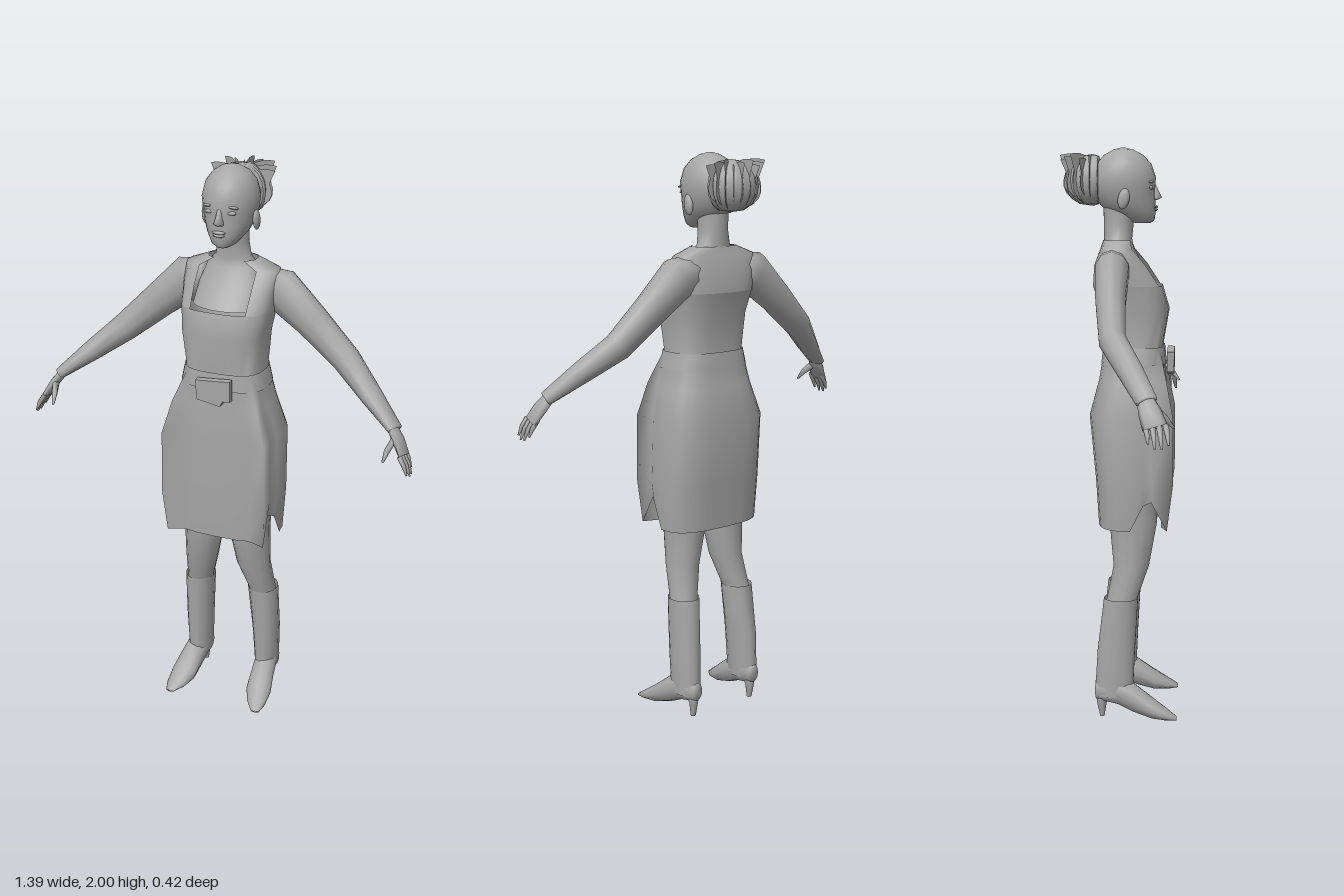
import * as THREE from 'three';

const grey = new THREE.MeshStandardMaterial({ color: 0xa6a6a6, side: THREE.DoubleSide });
grey.name = 'plain grey';

const V = (x, y, z) => new THREE.Vector3(x, y, z);

function mesh(name, geometry, parent) {
  const m = new THREE.Mesh(geometry, grey);
  m.name = name;
  parent.add(m);
  return m;
}

// Skin a list of equal-length point rings; open rings leave a gap
function loft(rings, { closed = true, caps = false } = {}) {
  const n = rings[0].length, pos = [], idx = [];
  rings.forEach(r => r.forEach(p => pos.push(p.x, p.y, p.z)));
  for (let j = 0; j < rings.length - 1; j++) {
    for (let i = 0; i < (closed ? n : n - 1); i++) {
      const a = j * n + i, b = j * n + (i + 1) % n;
      idx.push(a, a + n, b, b, a + n, b + n);
    }
  }
  if (caps) {
    [0, rings.length - 1].forEach((j, end) => {
      const c = pos.length / 3, mid = V(0, 0, 0);
      rings[j].forEach(p => mid.addScaledVector(p, 1 / n));
      pos.push(mid.x, mid.y, mid.z);
      for (let i = 0; i < n; i++) {
        const a = j * n + i, b = j * n + (i + 1) % n;
        if (end) idx.push(a, c, b); else idx.push(a, b, c);
      }
    });
  }
  const g = new THREE.BufferGeometry();
  g.setAttribute('position', new THREE.Float32BufferAttribute(pos, 3));
  g.setIndex(idx);
  g.computeVertexNormals();
  return g;
}

// Level ring: half width, front z, back z, centre x; p < 1 is boxier
function level(y, hw, zf, zb, { cx = 0, p = 1, n = 24, from = 0, to = 360, flare = 0 } = {}) {
  const pts = [], closed = to - from === 360;
  const bend = v => Math.sign(v) * Math.abs(v) ** p;
  for (let i = 0; i < (closed ? n : n + 1); i++) {
    const deg = from + (to - from) * i / n, a = deg * Math.PI / 180;
    const q = V(cx + hw * bend(Math.cos(a)), y, (zf + zb) / 2 + (zf - zb) / 2 * bend(Math.sin(a)));
    if (flare && (deg === 45 || deg === 135)) q.set(cx + Math.sign(Math.cos(a)) * hw * 0.93, y, zf + flare);
    pts.push(q);
  }
  return pts;
}

// Limb through stations [x, y, z, thickness, depth]
function limb(stations, n = 10) {
  const c = stations.map(s => V(s[0], s[1], s[2]));
  return loft(stations.map((s, j) => {
    const t = c[Math.min(j + 1, c.length - 1)].clone().sub(c[Math.max(j - 1, 0)]).normalize();
    const u = V(-t.y, t.x, 0).normalize(), v = u.clone().cross(t);
    return Array.from({ length: n }, (_, i) => {
      const a = i / n * Math.PI * 2;
      return c[j].clone().addScaledVector(u, s[3] * Math.cos(a)).addScaledVector(v, s[4] * Math.sin(a));
    });
  }), { caps: true });
}

function buildDress(g) {
  // Skirt and bodice, with slits rising at the sides of the hem
  const hem = level(0.69, 0.197, 0.16, -0.075, { p: 0.7, flare: 0.01 });
  [[1, 0.09], [2, 0.1], [10, 0.1], [11, 0.09]].forEach(([i, h]) => { hem[i].y += h; });
  const rows = [[0.85, 0.207, 0.165, -0.085, 0.025], [1.08, 0.203, 0.165, -0.107, 0.025],
    [1.2, 0.168, 0.162, -0.075, 0.005], [1.32, 0.138, 0.15, -0.055, 0],
    [1.45, 0.148, 0.172, -0.072, 0], [1.53, 0.16, 0.148, -0.095, 0]];
  mesh('dress', loft([hem, ...rows.map(([y, w, f, b, flare]) => level(y, w, f, b, { p: 0.7, flare }))]), g);

  // Shoulders and back, open at the square neckline
  const top = [[1.53, 0.16, 0.148, -0.095], [1.6, 0.165, 0.1, -0.09], [1.655, 0.165, 0.05, -0.068], [1.685, 0.085, 0.04, -0.06]];
  mesh('shoulderYoke', loft(top.map(([y, w, f, b]) =>
    level(y, w, f, b, { p: 0.7, from: 120, to: 420, n: 20 })), { closed: false }), g);

  // Belt and buckle
  mesh('belt', loft([level(1.26, 0.155, 0.163, -0.067, { p: 0.7 }), level(1.32, 0.142, 0.157, -0.06, { p: 0.7 })]), g);
  const flap = new THREE.Shape();
  [[-0.06, 1.3], [-0.055, 1.23], [0.03, 1.215], [0.04, 1.235], [0.065, 1.235], [0.065, 1.31]]
    .forEach(([x, y], i) => (i ? flap.lineTo(x, y) : flap.moveTo(x, y)));
  const buckle = mesh('buckle', new THREE.ExtrudeGeometry(flap, { depth: 0.025, bevelEnabled: false }), g);
  buckle.position.z = 0.165;
}

function buildHead(g) {
  mesh('neckAndChest', loft([[1.53, 0.12, 0.125, -0.02], [1.6, 0.11, 0.078, -0.04], [1.66, 0.09, 0.045, -0.055],
    [1.69, 0.062, 0.04, -0.058], [1.74, 0.053, 0.045, -0.058], [1.8, 0.055, 0.05, -0.06]]
    .map(([y, w, f, b]) => level(y, w, f, b))), g);
  mesh('head', loft([[1.743, 0.022, 0.105, 0.05], [1.755, 0.042, 0.118, 0.02], [1.785, 0.066, 0.122, -0.05],
    [1.82, 0.082, 0.12, -0.083], [1.86, 0.091, 0.119, -0.098], [1.9, 0.095, 0.122, -0.102], [1.945, 0.084, 0.106, -0.085],
    [1.975, 0.062, 0.078, -0.058], [1.993, 0.033, 0.044, -0.025], [2.0, 0.006, 0.014, 0.002]]
    .map(([y, w, f, b]) => level(y, w, f, b)), { caps: true }), g);

  // Face
  mesh('nose', loft([[1.822, 0.014, 0.127, 0.1], [1.83, 0.018, 0.143, 0.1], [1.85, 0.011, 0.133, 0.1], [1.878, 0.008, 0.12, 0.1]]
    .map(([y, w, f, b]) => level(y, w, f, b, { n: 8 })), { caps: true }), g);
  const ball = new THREE.SphereGeometry(1, 12, 8);
  const blob = (name, x, y, z, sx, sy, sz) => {
    const m = mesh(name, ball, g);
    m.position.set(x, y, z);
    m.scale.set(sx, sy, sz);
    return m;
  };
  blob('upperLip', 0, 1.799, 0.12, 0.024, 0.006, 0.01);
  blob('lowerLip', 0, 1.789, 0.119, 0.02, 0.006, 0.01);
  for (const s of [-1, 1]) {
    blob('eye', s * 0.038, 1.864, 0.106, 0.017, 0.007, 0.008);
    blob('brow', s * 0.04, 1.884, 0.106, 0.024, 0.005, 0.009).rotation.z = -s * 0.15;
    blob('ear', s * 0.09, 1.825, 0.015, 0.012, 0.036, 0.02).rotation.x = 0.2;
  }

  // Ponytail: ribbed bundle with blades fanning out at the back
  const tail = new THREE.Group();
  tail.name = 'ponytail';
  tail.position.set(-0.005, 1.89, -0.095);
  g.add(tail);
  const ribs = Array.from({ length: 9 }, (_, j) => {
    const e = -Math.PI / 2 + Math.PI * j / 8;
    return Array.from({ length: 44 }, (_, i) => {
      const a = i / 44 * Math.PI * 2, r = (i % 2 ? 0.092 : 0.08) * Math.cos(e) ** 0.8;
      return V(r * Math.cos(a), 0.088 * Math.sin(e), Math.min(0.02, r * Math.sin(a) * 1.1));
    });
  });
  mesh('hairBundle', loft(ribs), tail);
  const leaf = new THREE.Shape();
  leaf.moveTo(0.02, -0.085);
  leaf.quadraticCurveTo(0.13, -0.06, 0.095, 0.03);
  leaf.lineTo(0.115, 0.085);
  leaf.quadraticCurveTo(0.06, 0.1, 0.02, 0.07);
  const leafGeometry = new THREE.ShapeGeometry(leaf, 6);
  for (let i = 0; i < 11; i++) {
    const blade = mesh('hairBlade', leafGeometry, tail);
    blade.rotation.y = Math.PI * (0.02 + 0.096 * i);
    blade.scale.y = 0.9 + 0.1 * ((i * 7) % 3 - 1);
  }
}

function buildArm(side) {
  mesh('sleeve', limb([[0.1, 1.6, -0.02, 0.06, 0.055], [0.165, 1.585, -0.02, 0.077, 0.06], [0.28, 1.487, -0.018, 0.062, 0.052],
    [0.41, 1.372, -0.004, 0.05, 0.046], [0.52, 1.285, 0.06, 0.036, 0.042], [0.62, 1.205, 0.115, 0.02, 0.036]]), side);
  mesh('palm', limb([[0.605, 1.215, 0.108, 0.015, 0.026], [0.635, 1.175, 0.125, 0.016, 0.036],
    [0.662, 1.13, 0.142, 0.011, 0.04]], 8), side);
  for (let i = 0; i < 4; i++) {
    const z = 0.112 + i * 0.021, len = [0.8, 1, 1, 0.85][i];
    mesh('finger', limb([[0.655, 1.138, z, 0.009, 0.011], [0.655 + 0.022 * len, 1.138 - 0.035 * len, z + 0.006, 0.008, 0.009],
      [0.655 + 0.036 * len, 1.138 - 0.07 * len, z + 0.01, 0.003, 0.004]], 6), side);
  }
  mesh('thumb', limb([[0.625, 1.18, 0.14, 0.01, 0.016], [0.613, 1.15, 0.175, 0.01, 0.01], [0.607, 1.12, 0.2, 0.004, 0.004]], 6), side);
}

function buildLeg(side) {
  const rows = list => list.map(([y, x0, x1, f, b]) => level(y, (x1 - x0) / 2, f, b, { cx: (x0 + x1) / 2, n: 14 }));
  mesh('leg', loft(rows([[0.42, 0.078, 0.172, 0.062, -0.045], [0.55, 0.04, 0.162, 0.108, -0.02],
    [0.7, 0.012, 0.16, 0.135, -0.035], [0.95, 0.005, 0.17, 0.14, -0.06]])), side);
  mesh('bootShaft', loft(rows([[0.08, 0.095, 0.178, 0.055, -0.08], [0.13, 0.092, 0.178, 0.055, -0.082],
    [0.25, 0.085, 0.182, 0.06, -0.075], [0.435, 0.07, 0.18, 0.07, -0.053]])), side);

  // Pointed foot: [z, bottom, top, half width, centre x]
  mesh('foot', loft([[-0.082, 0.065, 0.13, 0.022, 0.135], [-0.05, 0.055, 0.15, 0.038, 0.135], [0, 0.045, 0.15, 0.042, 0.138],
    [0.055, 0.02, 0.125, 0.044, 0.144], [0.12, 0.003, 0.075, 0.048, 0.153], [0.17, 0, 0.04, 0.036, 0.163], [0.208, 0.002, 0.014, 0.016, 0.172]]
    .map(([z, y0, y1, w, cx]) => Array.from({ length: 12 }, (_, i) => {
      const a = i / 12 * Math.PI * 2;
      return V(cx + w * Math.cos(a), (y0 + y1) / 2 - (y1 - y0) / 2 * Math.sin(a), z);
    })), { caps: true }), side);
  mesh('heel', loft(rows([[0, 0.125, 0.145, -0.05, -0.066], [0.05, 0.12, 0.15, -0.042, -0.077],
    [0.095, 0.105, 0.165, -0.015, -0.082]]), { caps: true }), side);
}

export function createModel() {
  const model = new THREE.Group();
  model.name = 'woman';
  buildDress(model);
  buildHead(model);
  // Limbs, mirrored left and right
  for (const s of [1, -1]) {
    const side = new THREE.Group();
    side.name = s > 0 ? 'leftLimbs' : 'rightLimbs';
    side.scale.x = s;
    buildArm(side);
    buildLeg(side);
    model.add(side);
  }
  return model;
}
